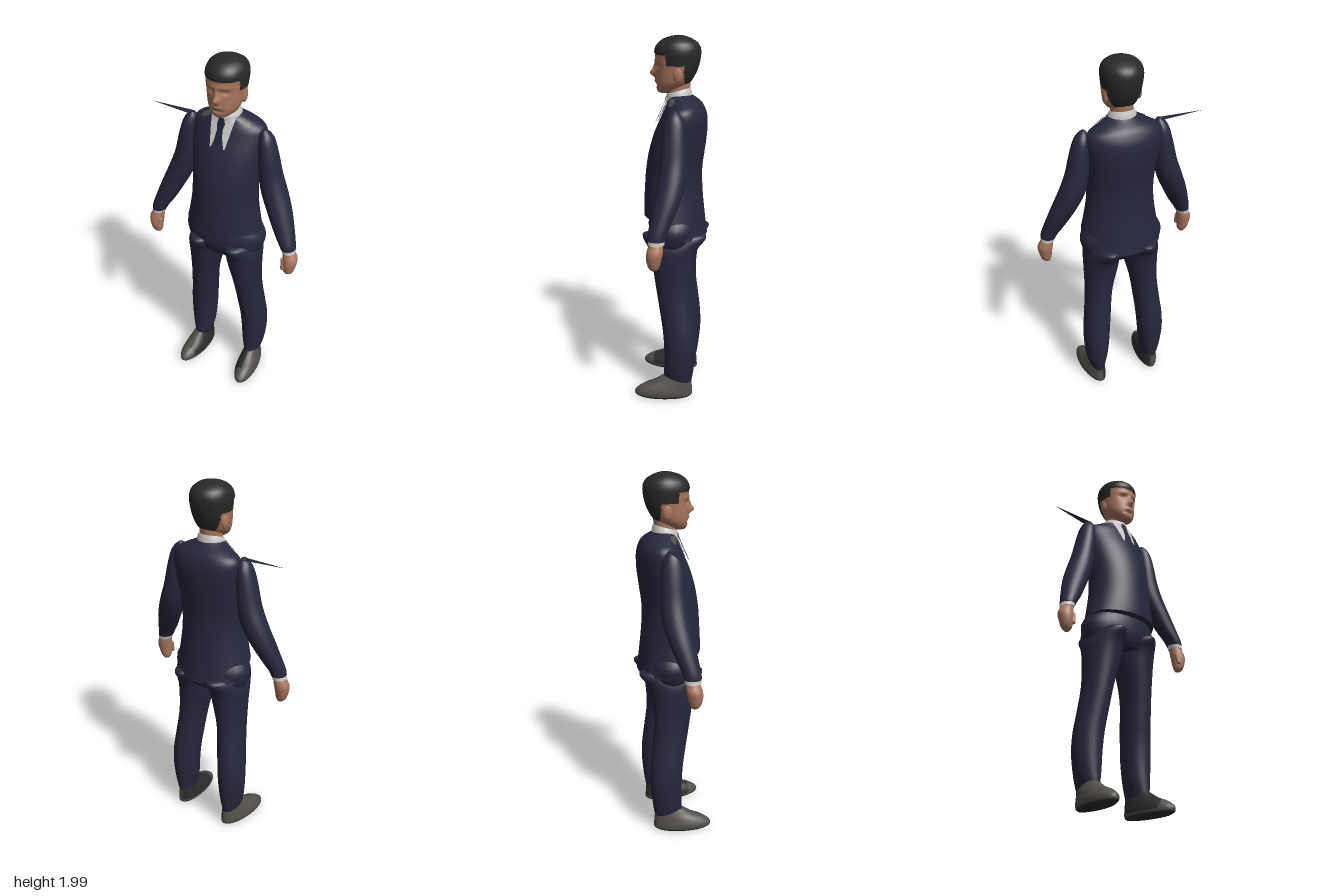
import * as THREE from 'three';

const mat = (name, color, side = THREE.FrontSide) => {
  const m = new THREE.MeshStandardMaterial({ color, side });
  m.name = name;
  return m;
};

const smooth = (a, b, v) => THREE.MathUtils.smoothstep(v, a, b);
const bump = (x, y, z, cx, cy, sx, sy) =>
  z > 0 ? Math.exp(-(((x - cx) / sx) ** 2) - ((y - cy) / sy) ** 2) : 0;

// Catmull-Rom blend of section rows: [y, centreX, radiusX, frontZ, backZ, backDrop]
function blend(rows, i, t) {
  const at = (k) => rows[THREE.MathUtils.clamp(k, 0, rows.length - 1)];
  return [0, 1, 2, 3, 4, 5].map((c) => {
    const [a, b, d, e] = [-1, 0, 1, 2].map((k) => at(i + k)[c] ?? 0);
    return b + 0.5 * t * (d - a + t * (2 * a - 5 * b + 4 * d - e + t * (3 * (b - d) + e - a)));
  });
}

// Smooth closed body through horizontal oval sections, listed from bottom to top
function loft(name, rows, materials, { seg = 32, sub = 4, pick = () => 0, warp } = {}) {
  const mats = [].concat(materials);
  const rings = [];
  for (let i = 0; i < rows.length - 1; i++)
    for (let k = 0; k < sub; k++) rings.push(blend(rows, i, k / sub));
  rings.push(blend(rows, rows.length - 1, 0));
  const pos = [];
  const faces = mats.map(() => []);
  const p = new THREE.Vector3();
  const addRing = ([y, cx, rx, zf, zb, drop]) => {
    for (let j = 0; j < seg; j++) {
      const a = (j / seg) * Math.PI * 2;
      p.set(cx + rx * Math.sin(a), y, (zf + zb) / 2 + ((zf - zb) / 2) * Math.cos(a));
      p.y -= drop * (1 - smooth(-0.11, 0.07, p.z));
      if (warp) warp(p);
      pos.push(p.x, p.y, p.z);
    }
  };
  const tri = (a, b, c) => {
    const mid = [0, 1, 2].map((k) => (pos[a * 3 + k] + pos[b * 3 + k] + pos[c * 3 + k]) / 3);
    faces[pick(...mid)].push(a, b, c);
  };
  rings.forEach(addRing);
  for (let i = 0; i < rings.length - 1; i++)
    for (let j = 0; j < seg; j++) {
      const a = i * seg + j, b = i * seg + ((j + 1) % seg);
      tri(a, b, b + seg);
      tri(a, b + seg, a + seg);
    }
  // End caps
  for (const top of [false, true]) {
    const r = rings[top ? rings.length - 1 : 0];
    const start = pos.length / 3;
    addRing(r);
    pos.push(r[1], r[0] - r[5] / 2, (r[3] + r[4]) / 2);
    for (let j = 0; j < seg; j++) {
      const a = start + j, b = start + ((j + 1) % seg);
      if (top) tri(start + seg, a, b);
      else tri(start + seg, b, a);
    }
  }
  const g = new THREE.BufferGeometry();
  g.setAttribute('position', new THREE.Float32BufferAttribute(pos, 3));
  g.setIndex(faces.flat());
  let offset = 0;
  faces.forEach((f, i) => { g.addGroup(offset, f.length, i); offset += f.length; });
  g.computeVertexNormals();
  const mesh = new THREE.Mesh(g, mats.length > 1 ? mats : mats[0]);
  mesh.name = name;
  return mesh;
}

const JACKET = [
  [1.05, 0, 0.222, 0.155, -0.19, 0.11], [1.1, 0, 0.207, 0.155, -0.178, 0.07],
  [1.2, 0, 0.187, 0.15, -0.163, 0.02], [1.3, 0, 0.183, 0.142, -0.16],
  [1.4, 0, 0.19, 0.125, -0.172], [1.5, 0, 0.2, 0.095, -0.184],
  [1.58, 0, 0.205, 0.06, -0.184], [1.63, 0, 0.195, 0.038, -0.168],
  [1.66, 0, 0.15, 0.025, -0.148], [1.69, 0, 0.085, 0.02, -0.11], [1.71, 0, 0.055, 0.015, -0.09],
];

// Thin panel lying on the jacket front, between edges [y, x0, x1] listed from bottom to top
function panel(name, edges, material, lift) {
  const g = new THREE.PlaneGeometry(1, 1, 6, 12);
  const P = g.attributes.position;
  for (let n = 0; n < P.count; n++) {
    const u = P.getX(n) + 0.5, v = (P.getY(n) + 0.5) * (edges.length - 1);
    const k = Math.min(Math.floor(v), edges.length - 2);
    const [y, x0, x1] = edges[k].map((e, c) => e + (edges[k + 1][c] - e) * (v - k));
    const x = x0 + (x1 - x0) * u;
    const i = JACKET.findLastIndex((r) => r[0] <= y);
    const s = blend(JACKET, i, (y - JACKET[i][0]) / (JACKET[i + 1][0] - JACKET[i][0]));
    const z = (s[3] + s[4]) / 2 + ((s[3] - s[4]) / 2) * Math.sqrt(Math.max(0, 1 - (x / s[2]) ** 2));
    P.setXYZ(n, x, y + lift * 0.5, z + lift);
  }
  g.computeVertexNormals();
  const mesh = new THREE.Mesh(g, material);
  mesh.name = name;
  return mesh;
}

export function createModel() {
  const model = new THREE.Group();
  model.name = 'manInSuit';
  const suit = mat('navySuit', 0x27273d);
  const tieCloth = mat('navyTie', 0x20233a, THREE.DoubleSide);
  const skin = mat('skin', 0xaa7860);
  const hair = mat('blackHair', 0x282927);
  const white = mat('whiteShirt', 0xcbc7c4, THREE.DoubleSide);
  const grey = mat('greyLeather', 0x524f4b, THREE.DoubleSide);
  const dark = mat('darkLeather', 0x2c2b2a);

  // Jacket and hips
  model.add(loft('jacket', JACKET, suit, { seg: 48 }));
  model.add(loft('hips', [
    [0.88, 0, 0.195, 0.1, -0.13], [0.93, 0, 0.222, 0.125, -0.16],
    [1.0, 0, 0.232, 0.13, -0.165], [1.07, 0, 0.19, 0.12, -0.15],
  ], suit));

  // Neck, shirt collar and tie
  model.add(loft('neck', [
    [1.66, 0, 0.06, 0.015, -0.09], [1.71, 0, 0.058, 0.028, -0.09], [1.77, 0, 0.06, 0.03, -0.095],
  ], skin));
  model.add(loft('collar', [
    [1.665, 0, 0.078, 0.032, -0.105, -0.02], [1.685, 0, 0.072, 0.034, -0.1, -0.03],
    [1.7, 0, 0.064, 0.03, -0.094, -0.035],
  ], white));
  model.add(panel('tie', [
    [1.53, -0.008, 0.008], [1.57, -0.021, 0.021], [1.625, -0.016, 0.016],
    [1.65, -0.022, 0.022], [1.68, -0.013, 0.013],
  ], tieCloth, 0.014));

  // Head with modelled brow, nose, lips and chin
  const face = (p) => {
    const ax = Math.abs(p.x);
    p.z += 0.03 * bump(p.x, p.y, p.z, 0, 1.805, 0.015, 0.018)
      + 0.015 * bump(p.x, p.y, p.z, 0, 1.835, 0.011, 0.025)
      - 0.012 * bump(ax, p.y, p.z, 0.04, 1.847, 0.02, 0.012)
      + 0.006 * bump(ax, p.y, p.z, 0.03, 1.873, 0.04, 0.01)
      + 0.007 * bump(p.x, p.y, p.z, 0, 1.767, 0.025, 0.009)
      - 0.007 * bump(p.x, p.y, p.z, 0, 1.745, 0.03, 0.008)
      + 0.006 * smooth(1.9, 1.915, p.y) * smooth(0, 0.05, p.z);
  };
  const hairline = (x, y, z) => (y > (z > 0.025 ? 1.905 : z > -0.068 ? 1.85 : 1.757) ? 1 : 0);
  model.add(loft('head', [
    [1.706, 0, 0.025, 0.07, 0.01], [1.715, 0, 0.045, 0.08, -0.015], [1.735, 0, 0.067, 0.086, -0.06],
    [1.76, 0, 0.083, 0.088, -0.092], [1.79, 0, 0.092, 0.088, -0.113], [1.83, 0, 0.099, 0.087, -0.132],
    [1.87, 0, 0.104, 0.089, -0.143], [1.91, 0, 0.108, 0.09, -0.148], [1.94, 0, 0.104, 0.084, -0.144],
    [1.965, 0, 0.091, 0.065, -0.127], [1.985, 0, 0.065, 0.035, -0.093], [1.996, 0, 0.034, 0.0, -0.06],
    [2.0, 0, 0.004, -0.026, -0.034],
  ], [skin, hair], { seg: 72, sub: 6, pick: hairline, warp: face }));

  for (const s of [1, -1]) {
    const side = s > 0 ? 'left' : 'right';
    const flip = (rows) => rows.map(([y, x, ...rest]) => [y, x * s, ...rest]);
    const add = (name, rows, m, opts) => model.add(loft(side + name, flip(rows), m, opts));

    // Ear
    const ear = new THREE.Mesh(new THREE.SphereGeometry(1, 16, 12), skin);
    ear.name = side + 'Ear';
    ear.scale.set(0.014, 0.043, 0.026);
    ear.position.set(0.09 * s, 1.81, -0.035);
    model.add(ear);

    // Shirt front and shoulder patch
    const patch = (name, edges, m, lift) => model.add(panel(side + name,
      edges.map(([y, a, b]) => (s > 0 ? [y, a, b] : [y, -b, -a])), m, lift));
    patch('ShirtFront', [[1.535, 0.036, 0.043], [1.6, 0.012, 0.054], [1.685, 0.004, 0.068]], white, 0.008);
    patch('ShoulderPatch', [[1.648, 0.125, 0.14], [1.664, 0.09, 0.132], [1.682, 0.068, 0.095]], grey, 0.006);

    // Sleeve, cuff and hand
    add('Sleeve', [
      [1.02, 0.4, 0.04, 0.083, -0.008], [1.05, 0.39, 0.046, 0.083, -0.015],
      [1.1, 0.366, 0.056, 0.075, -0.035], [1.2, 0.322, 0.067, 0.06, -0.075],
      [1.3, 0.279, 0.071, 0.045, -0.098], [1.4, 0.25, 0.062, 0.035, -0.1],
      [1.5, 0.234, 0.053, 0.03, -0.095], [1.58, 0.222, 0.042, 0.018, -0.085],
      [1.62, 0.214, 0.03, 0, -0.066], [1.642, 0.208, 0.01, -0.018, -0.045],
    ], suit);
    add('Cuff', [[1.0, 0.406, 0.036, 0.08, -0.004], [1.035, 0.397, 0.039, 0.08, -0.008]], white);
    add('Hand', [
      [0.862, 0.41, 0.014, 0.062, 0.034], [0.88, 0.413, 0.028, 0.078, 0.022],
      [0.92, 0.417, 0.036, 0.088, 0.01], [0.96, 0.417, 0.041, 0.086, 0.002],
      [1.0, 0.406, 0.034, 0.074, 0.002], [1.03, 0.399, 0.03, 0.07, 0.005],
    ], skin);
    const thumb = new THREE.Mesh(new THREE.CapsuleGeometry(0.012, 0.05, 4, 12), skin);
    thumb.name = side + 'Thumb';
    thumb.position.set(0.388 * s, 0.932, 0.072);
    thumb.rotation.set(-0.2, 0, 0.1 * s);
    model.add(thumb);

    // Trouser leg
    add('TrouserLeg', [
      [0.1, 0.168, 0.04, 0.03, -0.125], [0.14, 0.17, 0.05, 0.03, -0.132],
      [0.2, 0.17, 0.063, 0.028, -0.14], [0.3, 0.17, 0.073, 0.028, -0.148],
      [0.4, 0.165, 0.076, 0.035, -0.145], [0.5, 0.154, 0.075, 0.05, -0.135],
      [0.65, 0.138, 0.077, 0.075, -0.12], [0.8, 0.12, 0.095, 0.1, -0.13],
      [0.88, 0.115, 0.1, 0.12, -0.15], [0.93, 0.109, 0.09, 0.148, -0.188],
      [0.955, 0.108, 0.076, 0.15, -0.193], [0.965, 0.108, 0.06, 0.13, -0.17],
    ], suit);

    // Shoe with a dark sole and inner side, toe turned out
    const shoe = loft(side + 'Shoe', [
      [0.006, 0, 0.05, 0.17, -0.115], [0.02, 0, 0.06, 0.193, -0.13], [0.045, 0, 0.062, 0.19, -0.13],
      [0.075, 0, 0.055, 0.15, -0.128], [0.1, 0, 0.048, 0.09, -0.125], [0.135, 0, 0.038, 0.035, -0.115],
    ], [grey, dark], {
      pick: (x, y, z) => (y < 0.018 || (x * s < -0.005 && y > 0.03 && z < 0.13) ? 1 : 0),
    });
    shoe.position.x = 0.175 * s;
    shoe.rotation.y = 0.1 * s;
    model.add(shoe);
  }

  // Thin spike sticking out of the right shoulder
  const spike = new THREE.Mesh(new THREE.ConeGeometry(0.022, 0.245, 8), suit);
  spike.name = 'shoulderSpike';
  spike.scale.x = 0.15;
  spike.rotation.z = Math.PI / 2 - 0.03;
  spike.position.set(-0.333, 1.639, -0.034);
  model.add(spike);

  return model;
}
